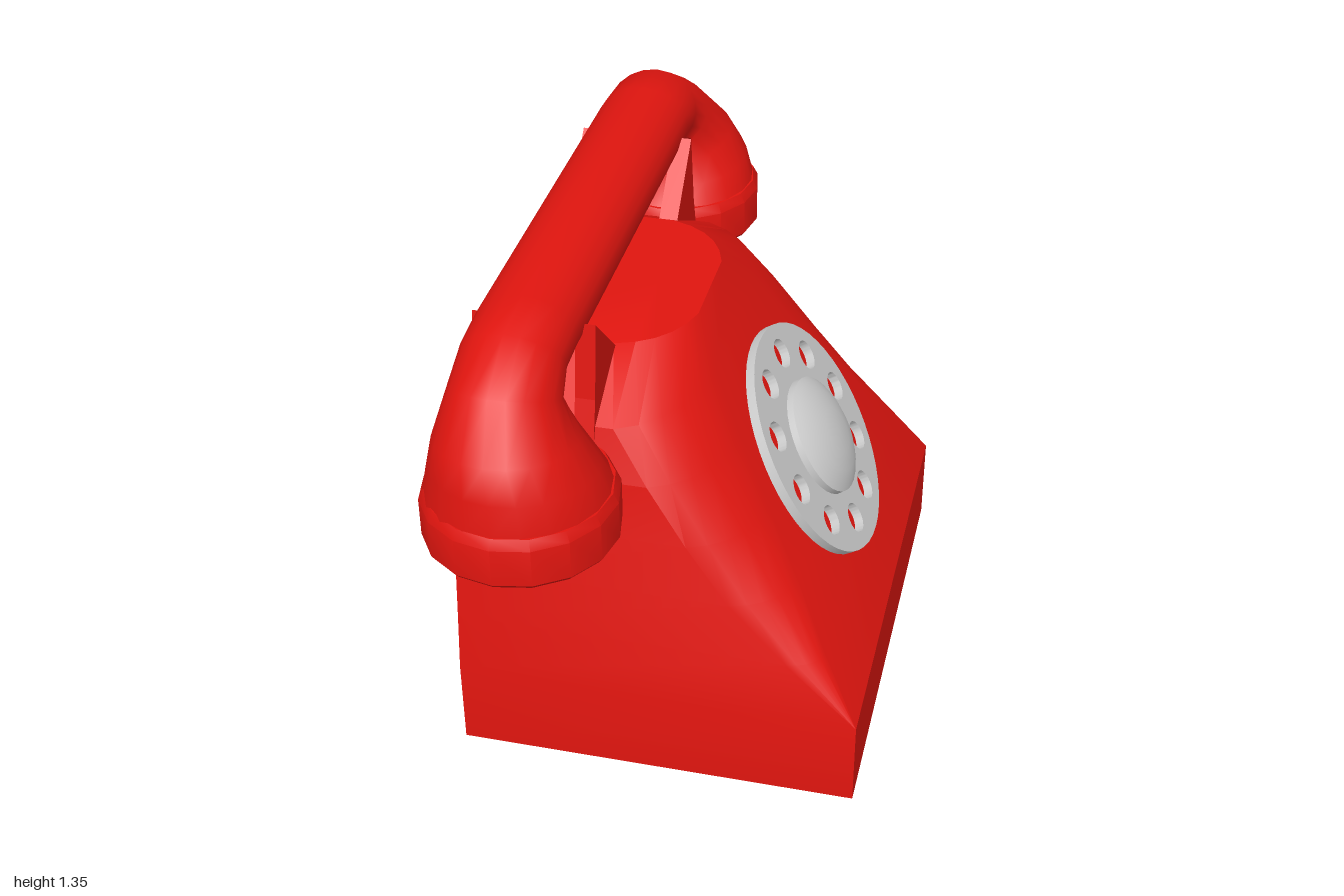
import * as THREE from 'three';
import { toCreasedNormals } from 'three/addons/utils/BufferGeometryUtils.js';

const red = new THREE.MeshStandardMaterial({ color: 0xe0150f });
const grey = new THREE.MeshStandardMaterial({ color: 0xcccccc });

// Skin between rings of points (counter-clockwise about the path), capped at both ends
function loft(rings, crease) {
  const n = rings[0].length;
  const pos = [];
  const tri = (...pts) => pts.forEach((p) => pos.push(p.x, p.y, p.z));
  for (let i = 0; i < rings.length - 1; i++) {
    for (let j = 0; j < n; j++) {
      const k = (j + 1) % n;
      const a = rings[i], b = rings[i + 1];
      tri(a[j], a[k], b[k]);
      tri(a[j], b[k], b[j]);
    }
  }
  const cap = (ring, flip) => {
    const c = new THREE.Vector3();
    ring.forEach((p) => c.addScaledVector(p, 1 / n));
    ring.forEach((p, j) => {
      const q = ring[(j + 1) % n];
      if (flip) tri(c, q, p);
      else tri(c, p, q);
    });
  };
  cap(rings[0], true);
  cap(rings[rings.length - 1], false);
  const g = new THREE.BufferGeometry();
  g.setAttribute('position', new THREE.Float32BufferAttribute(pos, 3));
  return toCreasedNormals(g, crease);
}

function add(parent, name, geometry, material) {
  const mesh = new THREE.Mesh(geometry, material);
  mesh.name = name;
  parent.add(mesh);
  return mesh;
}

// Horizontal slice of the body: flat back, straight sides, rounded front corners
function bodyRing([y, w, xs, zf]) {
  const xf = 0.515 - Math.max(0, y - 0.24) * 0.606;
  const corner = new THREE.QuadraticBezierCurve(
    new THREE.Vector2(xf, zf),
    new THREE.Vector2(xf * 0.8 + xs * 0.2, w * 0.8 + zf * 0.2),
    new THREE.Vector2(xs, w)
  ).getPoints(5);
  const half = [...corner, new THREE.Vector2(-0.52, w)];
  const right = half.map((p) => new THREE.Vector3(p.x, y, 0.01 - p.y));
  const left = half.map((p) => new THREE.Vector3(p.x, y, 0.01 + p.y)).reverse();
  return [...right, ...left];
}

// Handset slice from its outer and inner edge (z, y) and its x range
function handsetRing([zo, yo, zi, yi, x0, x1], side) {
  const pts = [];
  for (let j = 0; j < 20; j++) {
    const t = (j / 20) * Math.PI * 2;
    const s = -Math.sin(t) / 2;
    pts.push(new THREE.Vector3(
      (x0 + x1) / 2 + (Math.cos(t) * (x1 - x0)) / 2,
      (yo + yi) / 2 + s * (yo - yi),
      side * ((zo + zi) / 2 + s * (zo - zi))
    ));
  }
  return pts;
}

const lathe = (points, segments) => toCreasedNormals(
  new THREE.LatheGeometry(points.map((p) => new THREE.Vector2(...p)), segments), 0.6);

export function createModel() {
  const phone = new THREE.Group();
  phone.name = 'telephone';

  // Body: height, side half width, x where the side ends, front half width
  const levels = [
    [0, 0.62, 0.515, 0.62],
    [0.24, 0.62, 0.515, 0.62],
    [0.4, 0.602, 0.33, 0.54],
    [0.55, 0.587, 0.18, 0.45],
    [0.7, 0.57, 0.07, 0.37],
    [0.85, 0.55, -0.03, 0.3],
    [0.98, 0.51, -0.12, 0.22],
    [1.09, 0.31, -0.17, 0.13],
  ];
  add(phone, 'body', loft(levels.map(bodyRing), 0.5), red);

  // Cradle prongs: pointed plates before and behind the handset, at each end
  for (const side of [1, -1]) {
    for (const [x, lean] of [[-0.185, -0.015], [-0.445, 0.015]]) {
      const outline = [[0.48, 1.245], [0.3, 1.07], [0.36, 0.95], [0.53, 0.95], [0.505, 1.05]];
      const shape = new THREE.Shape(outline.map(([z, y]) => new THREE.Vector2(-side * z, y)));
      const g = new THREE.ExtrudeGeometry(shape, { depth: 0.05, bevelEnabled: false });
      g.translate(0, 0, -0.025);
      g.rotateY(Math.PI / 2);
      const prong = add(phone, 'cradleProng', g, red);
      prong.position.set(x + lean * 0.3, 0, 0.005);
    }
  }

  // Handset: bell, bend and grip in one skin, mirrored about its middle
  const handset = new THREE.Group();
  handset.name = 'handset';
  phone.add(handset);
  const half = [
    [0.985, 0.97, 0.545, 0.97, -0.5, -0.055],
    [0.975, 1.06, 0.585, 1.03, -0.48, -0.08],
    [0.95, 1.14, 0.6, 1.09, -0.465, -0.125],
    [0.84, 1.25, 0.6, 1.13, -0.445, -0.18],
    [0.7, 1.33, 0.575, 1.145, -0.44, -0.19],
    [0.55, 1.345, 0.53, 1.15, -0.44, -0.19],
  ];
  const rings = [
    ...half.map((r) => handsetRing(r, 1)),
    ...half.map((r) => handsetRing(r, -1)).reverse(),
  ];
  add(handset, 'handsetGrip', loft(rings, 0.9), red);
  for (const side of [1, -1]) {
    const cup = add(handset, side > 0 ? 'earCup' : 'mouthCup', lathe([
      [0, 0.845], [0.225, 0.845], [0.235, 0.857], [0.235, 0.955], [0.222, 0.98], [0, 0.98],
    ], 16), red);
    cup.position.set(-0.275, 0, side * 0.765);
  }

  // Rotary dial, parallel to the sloping front
  const dial = new THREE.Group();
  dial.name = 'dial';
  dial.position.set(0.2975, 0.69, 0.035);
  dial.rotation.set(0, Math.PI / 2, Math.atan2(0.515, 0.85), 'ZYX');
  phone.add(dial);
  const disc = new THREE.Shape().absarc(0, 0, 0.315, 0, Math.PI * 2);
  for (let i = 0; i < 10; i++) {
    const a = (i / 10) * Math.PI * 2;
    disc.holes.push(new THREE.Path().absarc(
      0.238 * Math.cos(a), 0.238 * Math.sin(a), 0.04, 0, Math.PI * 2, true));
  }
  const discGeometry = new THREE.ExtrudeGeometry(disc, {
    depth: 0.025, bevelEnabled: false, curveSegments: 24,
  });
  add(dial, 'fingerWheel', toCreasedNormals(discGeometry, 0.6), grey).position.z = -0.025;
  const hub = add(dial, 'dialHub', lathe([
    [0.16, -0.01], [0.158, 0.018], [0.142, 0.028], [0.11, 0.043], [0.06, 0.056], [0, 0.06],
  ], 32), grey);
  hub.rotation.x = Math.PI / 2;

  return phone;
}
